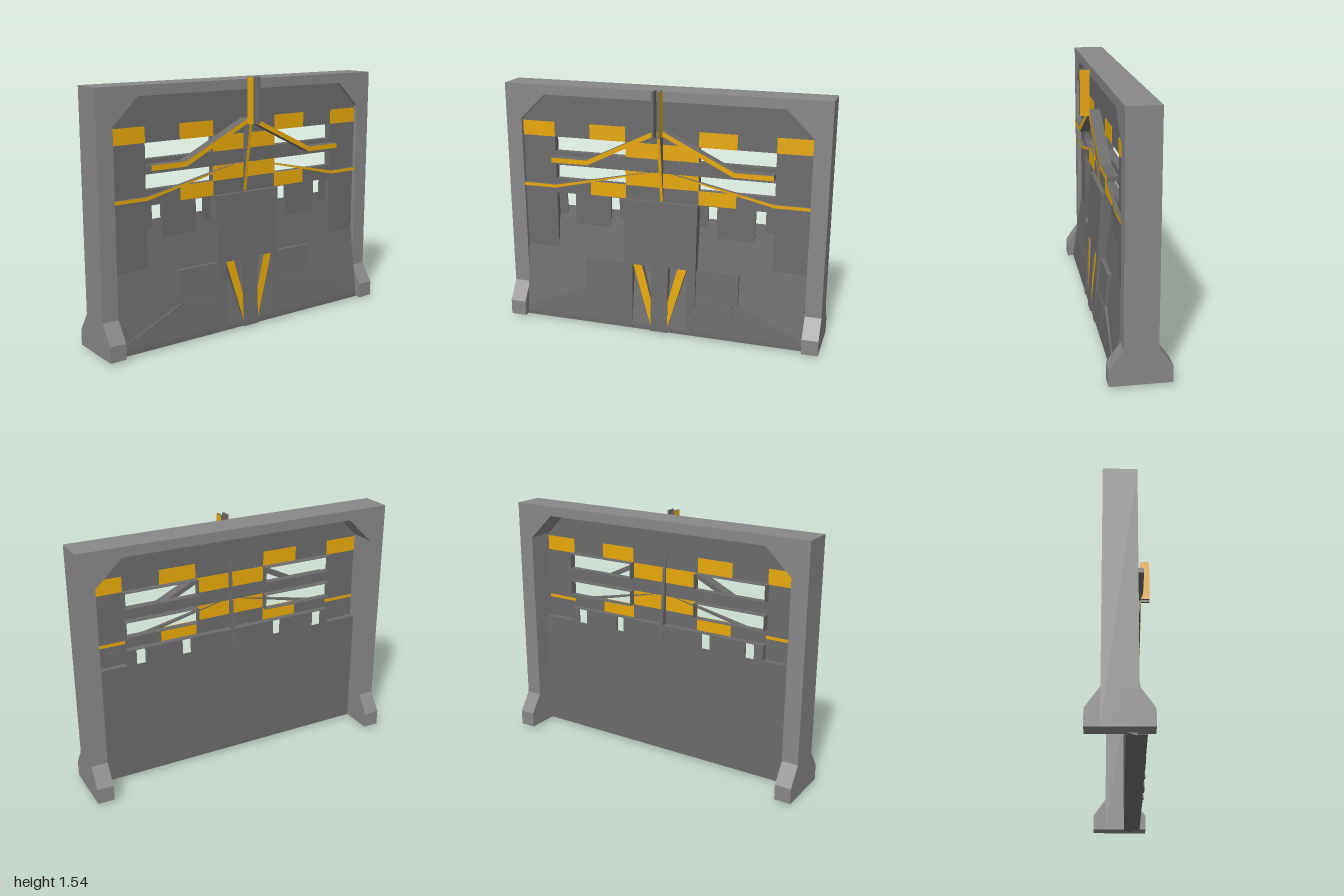
import * as THREE from 'three';

const frameGrey = new THREE.MeshStandardMaterial({ color: 0x888888, side: THREE.DoubleSide });
const grey = new THREE.MeshStandardMaterial({ color: 0x6c6c6c, side: THREE.DoubleSide });
const yellow = new THREE.MeshStandardMaterial({ color: 0xe8a808, side: THREE.DoubleSide });

const shapeOf = (pts) => new THREE.Shape(pts.map(([x, y]) => new THREE.Vector2(x, y)));
const rect = (x0, y0, x1, y1) => [[x0, y0], [x1, y0], [x1, y1], [x0, y1]];
const flip = (pts, s) => pts.map(([x, y]) => [s * x, y]);

// Sloping front planes, as z for a height y
const slope = (y) => 0.136 - 0.148 * y;
const pillarFront = (y) => 0.092 + (0.845 - y) * 0.055;

export function createModel() {
  const model = new THREE.Group();

  const add = (name, geometry, material = grey) => {
    const mesh = new THREE.Mesh(geometry, material);
    mesh.name = name;
    model.add(mesh);
    return mesh;
  };

  // Outline in x,y whose back and front z follow a number or a function of y
  const slab = (name, pts, back, front, material) => {
    const g = new THREE.ExtrudeGeometry(shapeOf(pts), { depth: 1, bevelEnabled: false });
    const p = g.attributes.position;
    for (let i = 0; i < p.count; i++) {
      const f = p.getZ(i) > 0.5 ? front : back;
      p.setZ(i, typeof f === 'function' ? f(p.getY(i)) : f);
    }
    g.computeVertexNormals();
    return add(name, g, material);
  };

  // Side profile of [z, y] points, extruded from x0 to x1
  const profile = (name, pts, x0, x1, material) => {
    const g = new THREE.ExtrudeGeometry(shapeOf(flip(pts, -1)), { depth: x1 - x0, bevelEnabled: false });
    g.rotateY(Math.PI / 2).translate(x0, 0, 0);
    return add(name, g, material);
  };

  const box = (name, x0, x1, y0, y1, z0, z1) => {
    const g = new THREE.BoxGeometry(x1 - x0, y1 - y0, z1 - z0);
    g.translate((x0 + x1) / 2, (y0 + y1) / 2, (z0 + z1) / 2);
    return add(name, g);
  };

  const flat = (name, pts, z, material, holes = []) => {
    const s = shapeOf(pts);
    holes.forEach((h) => s.holes.push(new THREE.Path(h.map(([x, y]) => new THREE.Vector2(x, y)))));
    return add(name, new THREE.ShapeGeometry(s).translate(0, 0, z), material);
  };

  // Outer frame with chamfered opening
  slab('frame', [[-1, 0.015], [-0.9, 0.015], [-0.9, 1.31], [-0.74, 1.465], [0.74, 1.465], [0.9, 1.31],
    [0.9, 0.015], [1, 0.015], [1, 1.525], [-1, 1.525]], -0.1, 0.09, frameGrey);

  // Flared feet
  const foot = [[0.17, 0.015], [0.17, 0.11], [0.09, 0.225], [-0.1, 0.225], [-0.18, 0.11], [-0.18, 0.015]];
  profile('foot', foot, 0.9, 1, frameGrey);
  profile('foot', foot, -1, -0.9, frameGrey);

  // Upper sheet with four slots; yellow patches show on both its faces
  const wall = 0.065;
  const windows = [], patches = [rect(-0.23, 1.11, 0.23, 1.203), rect(-0.23, 0.935, 0.23, 1.025)];
  for (const s of [-1, 1]) {
    for (const [y0, y1] of [[1.11, 1.203], [0.935, 1.025]]) windows.push(flip(rect(0.23, y0, 0.69, y1), s));
    patches.push(flip(rect(0.23, 1.203, 0.46, 1.295), s), flip(rect(0.69, 1.203, 0.9, 1.295), s),
      flip(rect(0.23, 0.849, 0.46, 0.935), s));
  }
  flat('upperPanel', [[-0.9, 0.845], [0.9, 0.845], [0.9, 1.31], [0.74, 1.465], [-0.74, 1.465], [-0.9, 1.31]],
    wall, grey, windows);
  patches.forEach((p) => slab('yellowPatch', p, wall - 0.0025, wall + 0.0025, yellow));

  // Thin sleeves behind the slots
  const t = 0.003;
  for (const w of windows) {
    const x0 = Math.min(w[0][0], w[1][0]), x1 = Math.max(w[0][0], w[1][0]);
    const y0 = w[0][1], y1 = w[2][1];
    box('slotSill', x0 - t, x1 + t, y0 - t, y0, 0.02, wall);
    box('slotHead', x0 - t, x1 + t, y1, y1 + t, 0.02, wall);
    box('slotSide', x0 - t, x0, y0, y1, 0.02, wall);
    box('slotSide', x1, x1 + t, y0, y1, 0.02, wall);
  }

  // Lower door: a wedge with a flat back, and a sill lip below it
  const back = 0.024;
  profile('lowerDoor', [[back, 0.013], [back, 0.755], [0.13, 0.043], [0.13, 0.013]], -0.9, 0.9);
  profile('bottomLip', [[0.08, 0], [0.08, 0.015], [0.03, 0.015]], -0.92, 0.92);

  for (const s of [-1, 1]) {
    const mirrored = (name, x0, x1, y0, y1, z0, z1) =>
      box(name, Math.min(s * x0, s * x1), Math.max(s * x0, s * x1), y0, y1, z0, z1);

    // Outer strips, notch tabs and ledges
    mirrored('outerStrip', 0.69, 0.9, 0.47, 0.755, back, wall);
    mirrored('outerStripFace', 0.69, 0.9, 0.755, 0.846, wall - t, wall);
    mirrored('notchSide', 0.69, 0.69 + t, 0.755, 0.845, back, wall);
    mirrored('notchLedge', 0.23, 0.69, 0.845, 0.848, back, wall);
    mirrored('wideTab', 0.34, 0.575, 0.62, 0.845, back + 0.001, 0.041);
    mirrored('narrowTab', 0.23, 0.285, 0.69, 0.845, back + 0.001, 0.032);
    mirrored('narrowTab', 0.635, 0.69, 0.69, 0.845, back + 0.001, 0.032);

    // Raised plates at the foot of the door
    slab('basePlate', flip([[0.23, 0.045], [0.88, 0.045], [0.88, 0.08], [0.495, 0.245], [0.495, 0.44], [0.23, 0.44]], s),
      (y) => slope(y) - 0.02, (y) => 0.1375 - 0.095 * y);
    slab('baseBlock', flip(rect(0.23, 0.047, 0.465, 0.245), s),
      (y) => slope(y) - 0.02, (y) => 0.1395 - 0.085 * y);

    // Centre pillar legs and slanting braces with yellow faces
    slab('pillarLeg', flip(rect(0.175, 0.02, 0.23, 0.44), s), 0.04, pillarFront);
    slab('pillarBrace', flip([[0.115, 0.44], [0.172, 0.44], [0.055, 0.05], [0.055, 0.22]], s),
      (y) => slope(y) - 0.01, (y) => pillarFront(y) - 0.002, [yellow, grey]);

    // Upper arm: grey body with yellow face
    const arm = flip([[0, 1.295], [0.03, 1.295], [0.46, 1.085], [0.69, 1.085], [0.69, 1.055], [0.455, 1.055],
      [0.03, 1.265], [0, 1.265]], s);
    slab('upperArm', arm, wall, 0.129);
    flat('upperArmFace', arm, 0.13, yellow);

    // Lower arm, tapering toward the centre
    const low = flip([[0.9, 0.9], [0.69, 0.9], [0.07, 1.03], [0.07, 1.025], [0.69, 0.88], [0.9, 0.88]], s);
    slab('lowerArm', low, wall - 0.003, 0.085);
    flat('lowerArmFace', low, 0.086, yellow);
    flat('lowerArmBack', flip(rect(0.69, 0.88, 0.9, 0.9), s), wall - 0.004, yellow);

    // Upright prong, yellow on its outer side
    const prong = mirrored('prong', 0.012, 0.025, 1.265, 1.54, 0.128, 0.185);
    prong.material = [s > 0 ? yellow : grey, s > 0 ? grey : yellow, grey, grey, grey, grey];
  }

  // Centre pillar
  slab('pillar', rect(-0.23, 0.44, 0.23, 0.847), back + 0.001, pillarFront);
  slab('pillarBar', rect(-0.055, 0.012, 0.055, 0.44), 0.04, pillarFront);

  // Central fin through the sheet, with a yellow leading edge
  profile('fin', [[0.132, 1.29], [0.068, 0.85], [0.03, 0.75], [0.015, 0.75], [0.06, 1.27]], -0.009, 0.009);
  profile('finEdge', [[0.132, 1.29], [0.134, 1.29], [0.07, 0.85], [0.068, 0.85]], -0.009, 0.009, yellow);

  return model;
}
